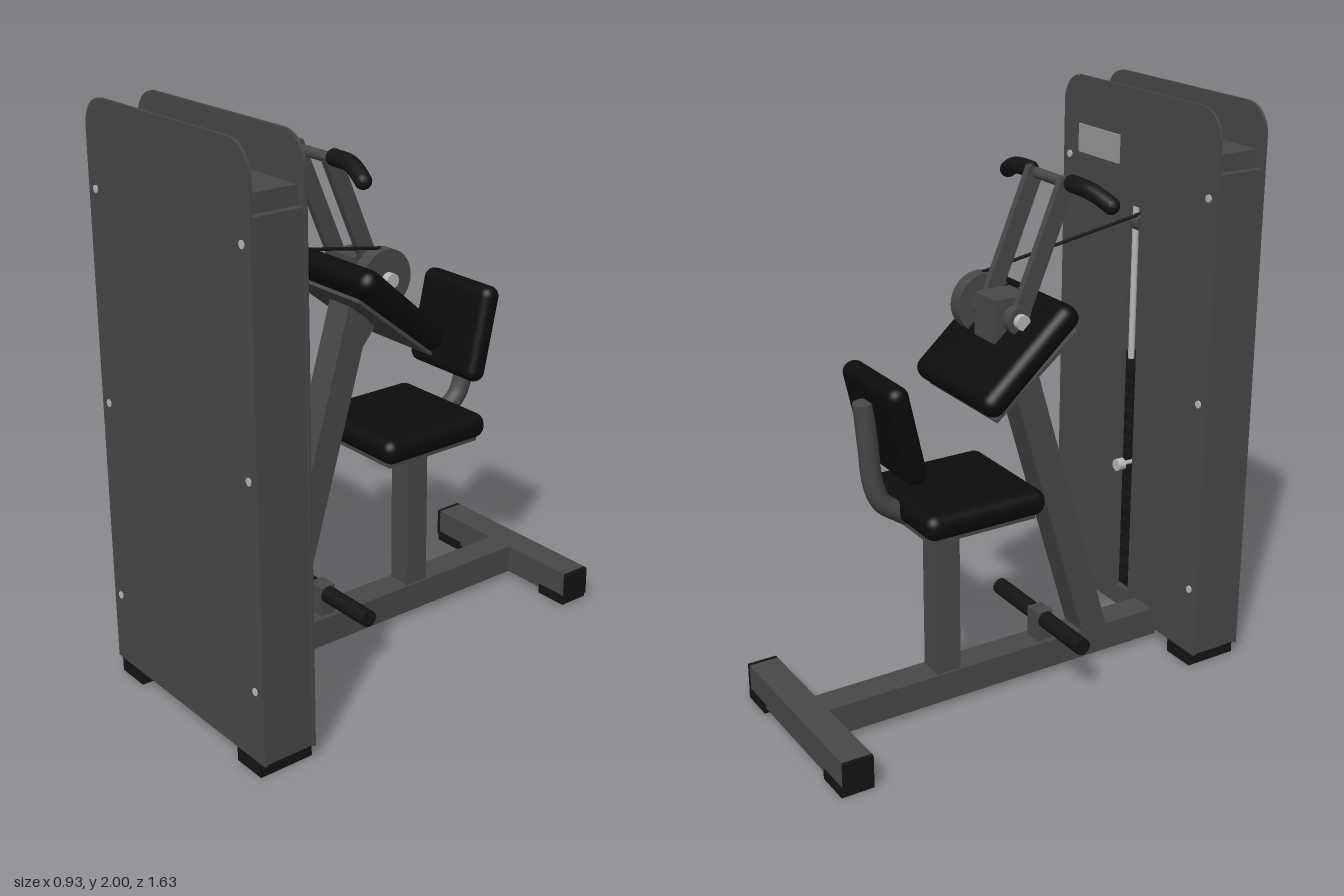
import * as THREE from 'three';
import { RoundedBoxGeometry } from 'three/addons/geometries/RoundedBoxGeometry.js';

export function createModel() {
  const root = new THREE.Group();
  root.name = 'curlMachine';
  const mat = (name, color) => {
    const m = new THREE.MeshStandardMaterial({ color });
    m.name = name;
    return m;
  };
  const steel = mat('dark grey steel', 0x484848);
  const black = mat('black padding', 0x0c0c0c);
  const rubber = mat('black rubber', 0x141414);
  const silver = mat('silver', 0xb8b8b8);
  const plaqueGrey = mat('plaque grey', 0x999999);

  const V = (x, y, z) => new THREE.Vector3(x, y, z);
  const add = (name, geo, material, x = 0, y = 0, z = 0) => {
    const m = new THREE.Mesh(geo, material);
    m.name = name;
    m.position.set(x, y, z);
    root.add(m);
    return m;
  };
  // Box given by its extents
  const box = (name, material, x0, x1, y0, y1, z0, z1) =>
    add(name, new THREE.BoxGeometry(x1 - x0, y1 - y0, z1 - z0), material,
      (x0 + x1) / 2, (y0 + y1) / 2, (z0 + z1) / 2);
  // Box or pad running between two [y, z] points in a side plane
  const beam = (name, material, x, width, thick, a, b, round = 0) => {
    const len = Math.hypot(b[0] - a[0], b[1] - a[1]);
    const geo = round ? new RoundedBoxGeometry(width, len, thick, 5, round)
      : new THREE.BoxGeometry(width, len, thick);
    const m = add(name, geo, material, x, (a[0] + b[0]) / 2, (a[1] + b[1]) / 2);
    m.rotation.x = Math.atan2(b[1] - a[1], b[0] - a[0]);
    return m;
  };
  // Cylinder between two points
  const rod = (name, material, r, a, b, sides = 24) => {
    const d = b.clone().sub(a);
    const m = add(name, new THREE.CylinderGeometry(r, r, d.length(), sides), material);
    m.position.copy(a).add(b).multiplyScalar(0.5);
    m.quaternion.setFromUnitVectors(V(0, 1, 0), d.normalize());
    return m;
  };
  const CX = -0.107; // centre of the frame and seat
  const TX = 0.025;  // centre of the weight tower

  // Tower cover plates, the rear one with a slot
  const plate = (name, z, slot) => {
    const l = -0.41, r = 0.46, b = 0.05, t = 2, c = 0.1;
    const s = new THREE.Shape();
    s.moveTo(l, b).lineTo(r, b).lineTo(r, t - c);
    s.absarc(r - c, t - c, c, 0, Math.PI / 2);
    s.absarc(l + c, t - c, c, Math.PI / 2, Math.PI);
    s.closePath();
    if (slot) {
      const h = new THREE.Path();
      h.moveTo(-0.01, 0.13).lineTo(-0.01, 1.6).lineTo(0.06, 1.6).lineTo(0.06, 0.13).closePath();
      s.holes.push(h);
    }
    add(name, new THREE.ExtrudeGeometry(s, { depth: 0.01, bevelEnabled: false, curveSegments: 10 }),
      steel, 0, 0, z);
  };
  plate('frontCover', 0.798, false);
  plate('rearCover', 0.613, true);

  // Tower frame, feet and cover bolts
  for (const s of [-1, 1]) {
    const x = TX + s * 0.398;
    box('towerColumn', steel, x - 0.03, x + 0.03, 0.05, 1.79, 0.623, 0.798);
    const f = TX + s * 0.348;
    box('towerFoot', rubber, f - 0.063, f + 0.063, 0, 0.05, 0.612, 0.808);
    for (const y of [0.3, 1.0, 1.71]) {
      const bx = TX + s * 0.394;
      rod('coverBolt', silver, 0.013, V(bx, y, 0.806), V(bx, y, 0.811), 16);
      rod('coverBolt', silver, 0.013, V(bx, y, 0.607), V(bx, y, 0.614), 16);
    }
  }
  box('towerTopBeam', steel, TX - 0.4, TX + 0.4, 1.79, 1.85, 0.623, 0.798);
  box('towerBottomBeam', steel, TX - 0.37, TX + 0.37, 0.05, 0.12, 0.623, 0.798);
  box('plaque', plaqueGrey, 0.12, 0.36, 1.73, 1.83, 0.606, 0.613);

  // Weight stack, guide rods and selector pin
  for (let i = 0; i < 16; i++) {
    const y = 0.125 + i * 0.055;
    box('weightPlate', rubber, TX - 0.2, TX + 0.2, y, y + 0.043, 0.64, 0.78);
  }
  for (const s of [-1, 1])
    rod('guideRod', silver, 0.012, V(TX + s * 0.12, 0.12, 0.71), V(TX + s * 0.12, 1.79, 0.71), 12);
  rod('stackCable', rubber, 0.006, V(TX, 1.0, 0.66), V(TX, 1.57, 0.66), 8);
  rod('cableRoller', steel, 0.03, V(TX - 0.02, 1.54, 0.64), V(TX + 0.02, 1.54, 0.64));
  rod('selectorPin', silver, 0.008, V(TX, 0.642, 0.66), V(TX, 0.642, 0.59), 12);
  rod('selectorKnob', silver, 0.022, V(TX, 0.642, 0.597), V(TX, 0.642, 0.567));

  // Floor frame
  box('mainBeam', steel, CX - 0.053, CX + 0.053, 0.02, 0.125, -0.72, 0.63);
  box('rearCrossBeam', steel, -0.455, 0.241, 0.02, 0.125, -0.81, -0.705);
  for (const s of [-1, 1]) {
    const e = CX + s * 0.355;
    box('beamEndCap', rubber, e - 0.0075, e + 0.0075, 0.02, 0.125, -0.81, -0.705);
    const f = CX + s * 0.288;
    box('rearFoot', rubber, f - 0.063, f + 0.063, 0, 0.035, -0.815, -0.7);
  }

  // Footrest
  box('footrestPost', steel, CX - 0.035, CX + 0.035, 0.12, 0.235, 0.125, 0.185);
  for (const s of [-1, 1])
    rod('footrestGrip', rubber, 0.03, V(CX + s * 0.035, 0.205, 0.155), V(CX + s * 0.265, 0.205, 0.155));

  // Seat with curved back support
  box('seatPost', steel, CX - 0.045, CX + 0.045, 0.125, 0.7, -0.29, -0.2);
  box('seatPlate', steel, CX - 0.19, CX + 0.19, 0.698, 0.714, -0.39, 0.005);
  add('seat', new RoundedBoxGeometry(0.45, 0.09, 0.45, 5, 0.04), black, CX, 0.759, -0.19);
  const supportPath = new THREE.CatmullRomCurve3([
    V(CX, 0.7, -0.33), V(CX, 0.745, -0.4), V(CX, 0.795, -0.465),
    V(CX, 0.87, -0.495), V(CX, 1.0, -0.508), V(CX, 1.15, -0.522)]);
  add('backSupport', new THREE.TubeGeometry(supportPath, 32, 0.034, 16), steel);
  rod('backSupportEnd', steel, 0.034, V(CX, 1.146, -0.5215), V(CX, 1.151, -0.522), 16);
  rod('backSupportEnd', steel, 0.034, V(CX, 0.7, -0.33), V(CX, 0.703, -0.335), 16);
  beam('backPad', black, CX, 0.35, 0.076, [0.902, -0.41], [1.238, -0.485], 0.036);

  // Leaning column, gusset and pivot housing
  beam('leaningColumn', steel, CX, 0.105, 0.1, [0.1, 0.36], [1.29, 0.005]);
  const g = new THREE.Shape([new THREE.Vector2(0.04, 1.03), new THREE.Vector2(-0.075, 1.17),
    new THREE.Vector2(0.03, 1.24)]);
  const gusset = new THREE.ExtrudeGeometry(g, { depth: 0.06, bevelEnabled: false });
  gusset.rotateY(-Math.PI / 2);
  add('padGusset', gusset, steel, CX + 0.03);
  box('pivotHousing', steel, -0.17, -0.045, 1.2, 1.425, -0.075, 0.06);

  // Arm pad on its backing plate
  beam('armPad', black, CX, 0.475, 0.088, [1.112, -0.197], [1.405, 0.133], 0.04);
  beam('armPadPlate', steel, CX, 0.42, 0.012, [1.08, -0.16], [1.33, 0.15]);

  // Pivot axle, cam and cable
  rod('pivotAxle', silver, 0.025, V(-0.24, 1.36, -0.01), V(0.08, 1.36, -0.01));
  rod('cam', steel, 0.102, V(0.002, 1.36, -0.005), V(0.053, 1.36, -0.005), 40);
  rod('cable', rubber, 0.006, V(TX, 1.57, 0.64), V(TX, 1.462, 0), 8);

  // Lever arms and bent handle
  for (const x of [-0.2, -0.014]) {
    beam('leverArm', steel, x, 0.025, 0.06, [1.34, -0.015], [1.795, 0.175]);
    rod('leverHub', steel, 0.045, V(x - 0.018, 1.36, -0.01), V(x + 0.018, 1.36, -0.01));
  }
  rod('handleBar', steel, 0.018, V(CX - 0.22, 1.78, 0.175), V(CX + 0.22, 1.78, 0.175), 16);
  for (const s of [-1, 1]) {
    const path = new THREE.CatmullRomCurve3([
      V(CX + s * 0.12, 1.785, 0.175), V(CX + s * 0.2, 1.782, 0.177),
      V(CX + s * 0.25, 1.768, 0.188), V(CX + s * 0.295, 1.748, 0.2)]);
    add('handleGrip', new THREE.TubeGeometry(path, 16, 0.028, 16), rubber);
    for (const t of [0, 1])
      add('gripEnd', new THREE.SphereGeometry(0.028, 16, 10), rubber, ...path.getPoint(t).toArray());
  }
  return root;
}
